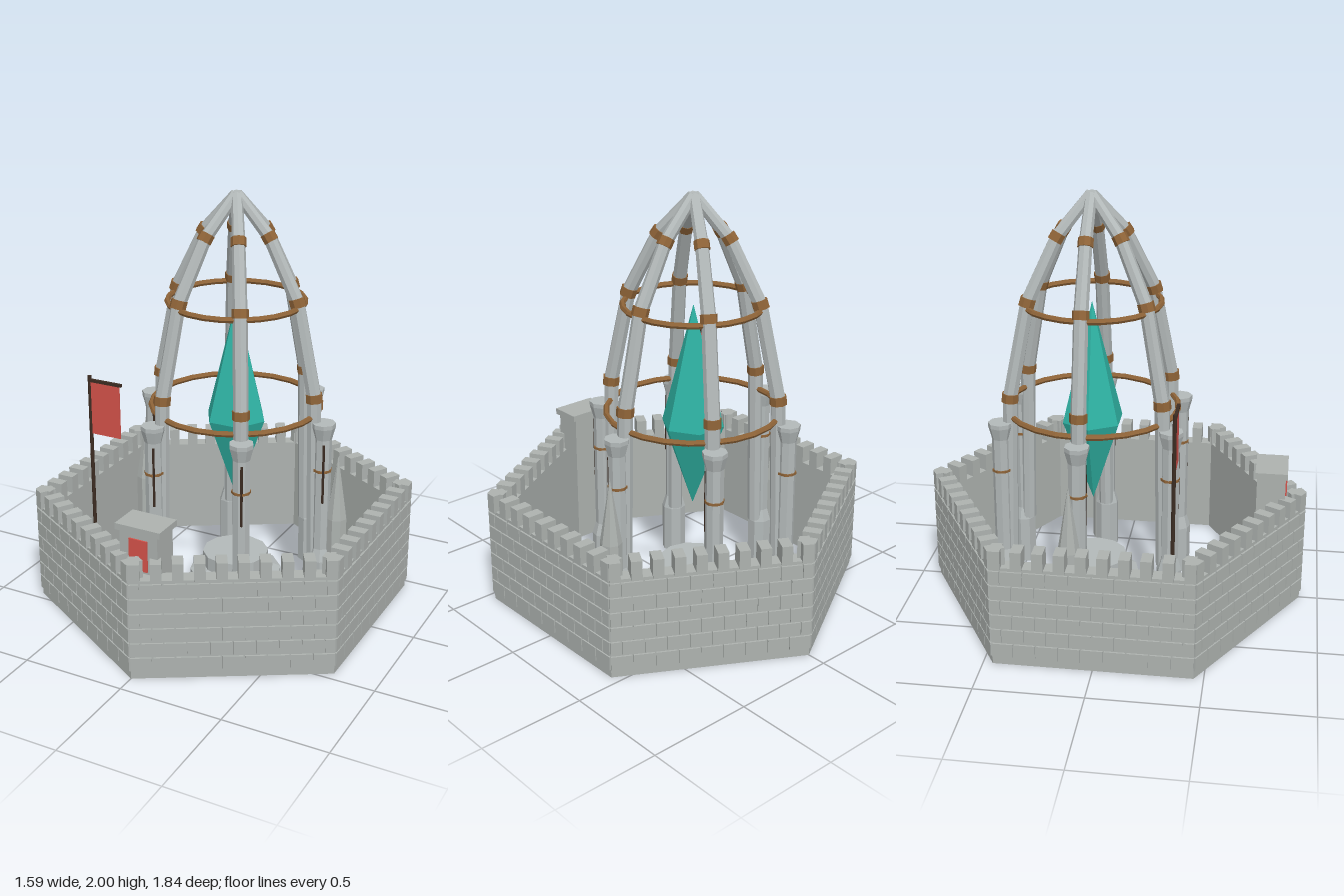
import * as THREE from 'three';
import { mergeGeometries } from 'three/addons/utils/BufferGeometryUtils.js';

const mat = (name, color) => {
  const m = new THREE.MeshStandardMaterial({ color, flatShading: true });
  m.name = name;
  return m;
};

export function createModel() {
  const stone = mat('stone', 0xadb2af);
  const paleStone = mat('paleStone', 0xb3b9b9);
  const teal = mat('crystalTeal', 0x2fb3a4);
  const red = mat('clothRed', 0xd4524a);
  const brown = mat('bronzeBrown', 0x8f6438);
  const dark = mat('darkWood', 0x3c2c22);

  const model = new THREE.Group();
  const add = (parent, name, geo, material, x = 0, y = 0, z = 0) => {
    const m = new THREE.Mesh(geo, material);
    m.name = name;
    m.position.set(x, y, z);
    parent.add(m);
    return m;
  };
  const box = (w, h, d, x, y, z) => new THREE.BoxGeometry(w, h, d).translate(x, y, z);
  const lathe = (points, sides) =>
    new THREE.LatheGeometry(points.map(([r, y]) => new THREE.Vector2(r, y)), sides);

  // Cylinder between two points
  const rod = (a, b, ra, rb, sides = 8) => {
    const dir = b.clone().sub(a);
    const q = new THREE.Quaternion().setFromUnitVectors(
      new THREE.Vector3(0, 1, 0), dir.clone().normalize());
    return new THREE.CylinderGeometry(rb, ra, dir.length(), sides)
      .applyQuaternion(q)
      .translate((a.x + b.x) / 2, (a.y + b.y) / 2, (a.z + b.z) / 2);
  };

  // Hexagonal wall, open at top and bottom
  const IN = 0.715, OUT = 0.788, WALL = 0.49;
  const hexPoints = (apothem) => Array.from({ length: 6 }, (_, i) => {
    const a = Math.PI / 6 + i * Math.PI / 3, r = apothem / Math.cos(Math.PI / 6);
    return new THREE.Vector2(Math.cos(a) * r, Math.sin(a) * r);
  });
  const ring = new THREE.Shape(hexPoints(OUT));
  ring.holes.push(new THREE.Path(hexPoints(IN).reverse()));
  add(model, 'wall', new THREE.ExtrudeGeometry(ring, { depth: WALL, bevelEnabled: false })
    .rotateX(-Math.PI / 2), stone);

  // Bricks and battlements, one hexagon side at a time
  const bricks = [], merlons = [];
  const half = 0.459, rows = 6, pitch = 0.0735, len = 2 * half / 9;
  for (let side = 0; side < 6; side++) {
    const turn = side * Math.PI / 3;
    for (let row = 0; row < rows; row++) {
      const shift = row % 2 ? len / 2 : 0;
      for (let i = 0; i < 10; i++) {
        const a = Math.max(-half, -half + i * len - shift);
        const b = Math.min(half, -half + (i + 1) * len - shift);
        if (b - a < 0.01) continue;
        bricks.push(box(0.014, pitch - 0.007, b - a - 0.007,
          OUT + 0.002, 0.0375 + (row + 0.5) * pitch, (a + b) / 2).rotateY(turn));
      }
    }
    for (let i = 0; i < 10; i++) {
      merlons.push(box(OUT - IN + 0.009, 0.09, 0.05,
        (IN + OUT + 0.009) / 2, 0.529, (i - 4.5) * 0.0958).rotateY(turn));
    }
  }
  add(model, 'bricks', mergeGeometries(bricks), stone);
  add(model, 'battlements', mergeGeometries(merlons), stone);

  // Central tower group
  const tower = new THREE.Group();
  tower.name = 'tower';
  tower.position.z = -0.115;
  model.add(tower);

  add(tower, 'pedestal', lathe([[0, 0], [0.23, 0], [0.23, 0.07], [0.165, 0.1],
    [0.165, 0.17], [0, 0.17]], 12), paleStone);
  add(tower, 'crystal', lathe([[0, 0.48], [0.153, 0.897], [0, 1.485]], 6), teal)
    .rotation.y = Math.PI / 2;

  // Six columns with curved ribs meeting at the peak
  const ribPath = [[0.428, 0.25], [0.41, 1.065], [0.315, 1.515], [0.168, 1.805], [0.006, 1.985]];
  const ribRadius = [0.036, 0.036, 0.034, 0.031, 0.027];
  const columnGeo = lathe([[0, 0], [0.06, 0], [0.06, 0.24], [0.042, 0.3], [0.042, 0.87],
    [0.058, 0.93], [0.058, 0.95], [0, 0.95]], 8);
  for (let i = 0; i < 6; i++) {
    const arm = new THREE.Group();
    arm.name = 'arm' + (i + 1);
    arm.rotation.y = i * Math.PI / 3;
    tower.add(arm);
    add(arm, 'column', columnGeo, paleStone, 0.462).rotation.y = Math.PI / 8;
    add(arm, 'columnBand', new THREE.CylinderGeometry(0.046, 0.046, 0.012, 8), brown, 0.462, 0.71);
    const pts = ribPath.map(([x, y]) => new THREE.Vector3(x, y, 0));
    for (let k = 0; k < 4; k++) {
      add(arm, 'rib', rod(pts[k], pts[k + 1], ribRadius[k], ribRadius[k + 1]), paleStone);
    }
    // Collars at the rib joints
    for (let k = 1; k < 4; k++) {
      const d = pts[k + 1].clone().sub(pts[k - 1]).setLength(0.021);
      const r = ribRadius[k] + 0.005;
      add(arm, 'collar', rod(pts[k].clone().sub(d), pts[k].clone().add(d), r, r), brown);
    }
    // Narrow slit beside the column, always turned the same way
    const a = i * Math.PI / 3;
    add(tower, 'slit', new THREE.BoxGeometry(0.009, 0.3, 0.009), dark,
      Math.cos(a) * 0.462 + 0.02, 0.7, Math.sin(a) * 0.462 + 0.036);
  }
  add(tower, 'peakCap', new THREE.CylinderGeometry(0.027, 0.04, 0.04, 8), paleStone, 0, 1.98);

  // Hoops tying the ribs together
  for (const [r, y] of [[0.41, 0.97], [0.325, 1.487]]) {
    add(tower, 'hoop', new THREE.TorusGeometry(r, 0.014, 6, 24), brown, 0, y)
      .rotation.x = Math.PI / 2;
  }

  // Pointed stones outside the left and right columns
  for (const s of [-1, 1]) {
    add(model, 'spike', lathe([[0, 0], [0.055, 0], [0.052, 0.46], [0, 0.785]], 8),
      stone, s * 0.53, 0, -0.145);
  }

  // Gatehouse in the front corner
  add(model, 'gatehouse', box(0.19, 0.68, 0.135, 0, 0.34, 0.75), stone);
  add(model, 'gatehouseCap', box(0.226, 0.03, 0.152, 0, 0.695, 0.75), stone);
  add(model, 'gatehousePanel', box(0.092, 0.15, 0.009, 0, 0.577, 0.82), red);

  // Banner
  const banner = new THREE.Group();
  banner.name = 'banner';
  banner.position.set(-0.545, 0, 0.33);
  model.add(banner);
  add(banner, 'pole', new THREE.CylinderGeometry(0.009, 0.009, 1.16, 8), dark, 0, 0.58);
  add(banner, 'crossbar', box(0.178, 0.014, 0.014, 0.084, 1.137, 0), dark);
  add(banner, 'cloth', box(0.155, 0.262, 0.007, 0.085, 1.0, 0), red);

  return model;
}
